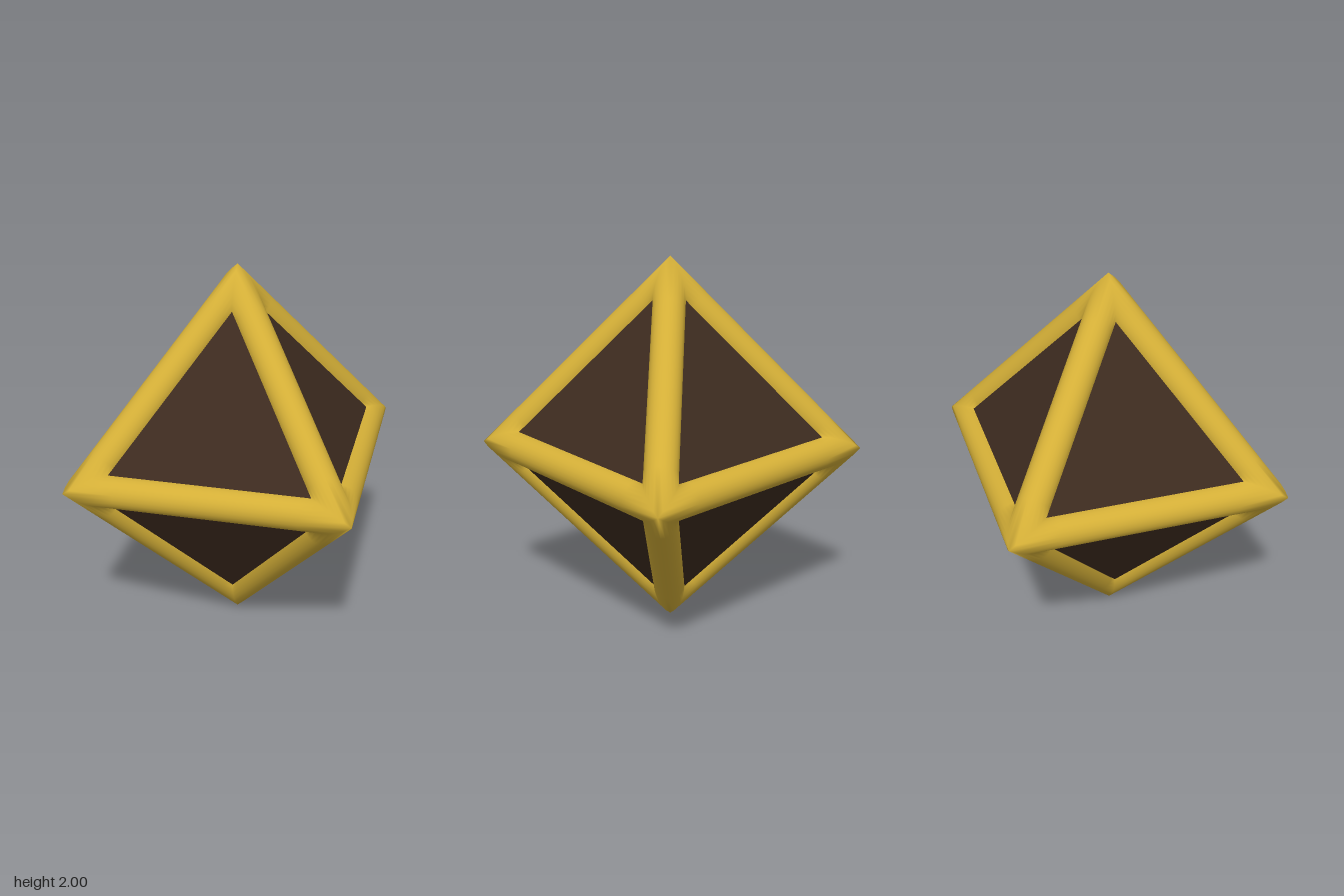
import * as THREE from 'three';
import { mergeVertices } from 'three/addons/utils/BufferGeometryUtils.js';

const RADIUS = 0.083; // bar radius
const SIDES = 24;
const AXIS = 0.5 - RADIUS / Math.SQRT2; // puts each bar's outermost line on the octahedron edge

// Round bars along the twelve edges, mitred so that four of them meet in a point
function frameGeometry() {
  const positions = [];
  const indices = [];

  function addBar(a, b) {
    const c = new THREE.Vector3().crossVectors(a, b);
    const base = positions.length / 3;
    for (let ring = 0; ring < 4; ring++) {
      for (let j = 0; j < SIDES; j++) {
        const angle = (j / SIDES) * Math.PI * 2;
        const out = AXIS + (RADIUS * Math.cos(angle)) / Math.SQRT2;
        const side = RADIUS * Math.sin(angle);
        const mitre = out - Math.abs(side);
        const t = [-mitre, -0.32, 0.32, mitre][ring];
        const p = new THREE.Vector3()
          .addScaledVector(a, out + t)
          .addScaledVector(b, out - t)
          .addScaledVector(c, side);
        positions.push(p.x, p.y, p.z);
      }
    }
    for (let ring = 0; ring < 3; ring++) {
      for (let j = 0; j < SIDES; j++) {
        const k = (j + 1) % SIDES;
        const p = base + ring * SIDES;
        const q = p + SIDES;
        indices.push(p + j, p + k, q + j, p + k, q + k, q + j);
      }
    }
  }

  const axes = [
    new THREE.Vector3(1, 0, 0),
    new THREE.Vector3(0, 1, 0),
    new THREE.Vector3(0, 0, 1),
  ];
  for (let i = 0; i < 3; i++) {
    for (const s of [1, -1]) {
      for (const t of [1, -1]) {
        addBar(axes[i].clone().multiplyScalar(s), axes[(i + 1) % 3].clone().multiplyScalar(t));
      }
    }
  }

  const geometry = new THREE.BufferGeometry();
  geometry.setAttribute('position', new THREE.Float32BufferAttribute(positions, 3));
  geometry.setIndex(indices);
  const merged = mergeVertices(geometry, 1e-4);
  merged.computeVertexNormals();
  return merged;
}

export function createModel() {
  const gold = new THREE.MeshStandardMaterial({ color: 0xd4af37 });
  gold.name = 'gold';
  const darkBrown = new THREE.MeshStandardMaterial({ color: 0x3d2b1f });
  darkBrown.name = 'dark brown';

  const model = new THREE.Group();
  model.name = 'framedOctahedron';

  const frame = new THREE.Mesh(frameGeometry(), gold);
  frame.name = 'edgeFrame';

  // Recessed triangular faces
  const panels = new THREE.Mesh(new THREE.OctahedronGeometry(0.955), darkBrown);
  panels.name = 'facePanels';

  for (const part of [frame, panels]) {
    part.position.y = 1;
    model.add(part);
  }
  return model;
}
